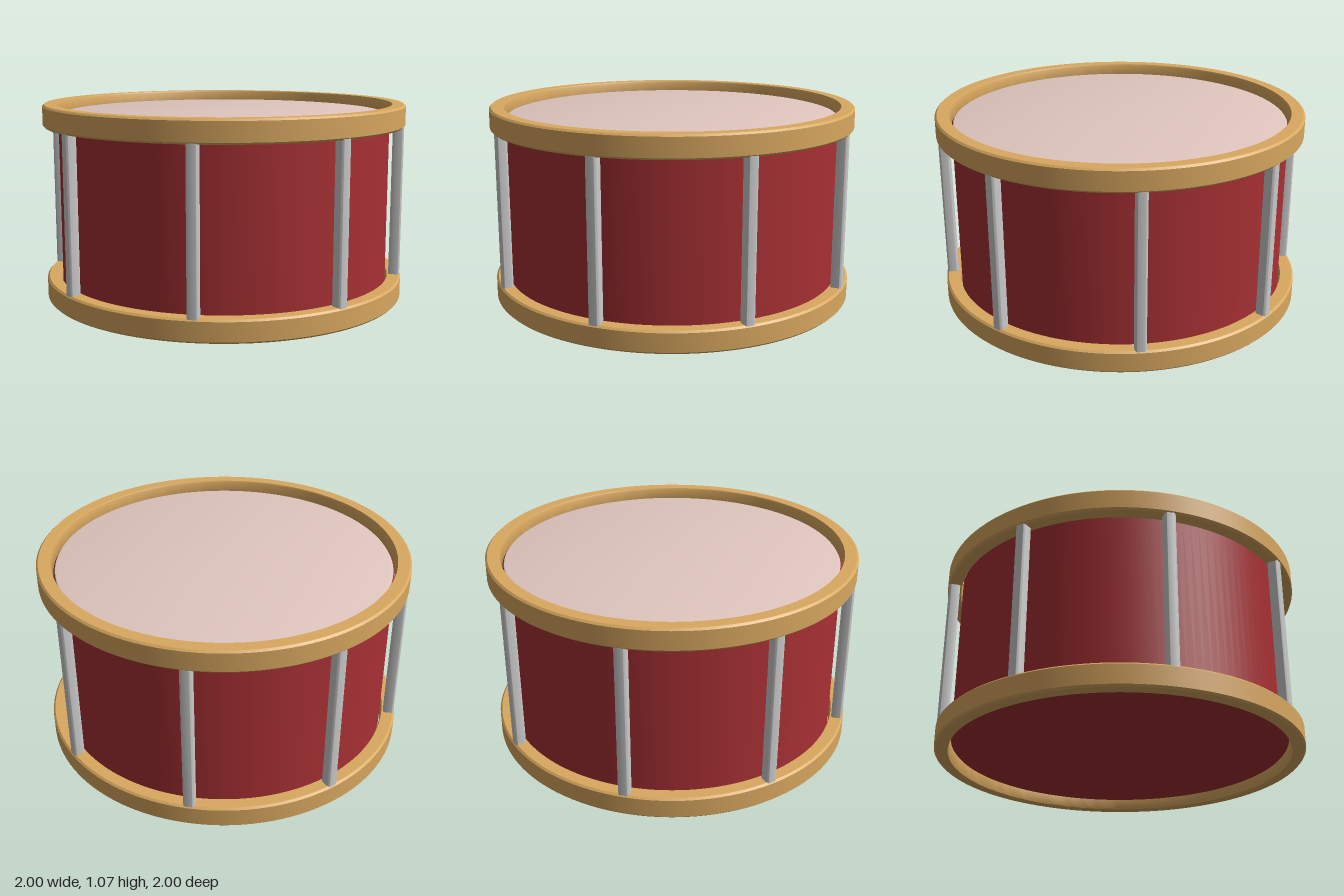
import * as THREE from 'three';
import { toCreasedNormals } from 'three/addons/utils/BufferGeometryUtils.js';

const mat = (color) => new THREE.MeshStandardMaterial({ color });

function lathe(name, points, material) {
  const profile = points.map(([r, y]) => new THREE.Vector2(r, y));
  const geometry = toCreasedNormals(new THREE.LatheGeometry(profile, 128), 0.6);
  const mesh = new THREE.Mesh(geometry, material);
  mesh.name = name;
  return mesh;
}

export function createModel() {
  const drum = new THREE.Group();
  drum.name = 'drum';
  const red = mat(0xa83034);
  const wood = mat(0xd9a860);
  const skin = mat(0xe0c6bf);
  const metal = mat(0xcccccc);

  // Shell, closed at the bottom
  drum.add(lathe('shell', [[0, 0.055], [0.905, 0.055], [0.915, 0.065], [0.915, 1.0], [0.908, 1.01]], red));

  // Drum head, recessed below the top hoop
  drum.add(lathe('drumHead', [[0.912, 1.0], [0.905, 1.012], [0.89, 1.016], [0, 1.016]], skin));

  // Two identical wooden hoops with softly bevelled edges
  const b = 0.01, h = 0.12, inner = 0.922, outer = 1;
  const hoopProfile = [
    [inner, b], [inner + b / 2, 0], [outer - b, 0], [outer, b],
    [outer, h - b], [outer - b, h], [inner + b / 2, h], [inner, h - b], [inner, b],
  ];
  for (const [name, y] of [['bottomHoop', 0], ['topHoop', 0.95]]) {
    const hoop = lathe(name, hoopProfile, wood);
    hoop.position.y = y;
    drum.add(hoop);
  }

  // Eight tension rods: square bars with rounded corners between the hoops
  const s = 0.03, r = 0.014;
  const section = new THREE.Shape();
  section.absarc(s - r, s - r, r, 0, Math.PI / 2);
  section.absarc(r - s, s - r, r, Math.PI / 2, Math.PI);
  section.absarc(r - s, r - s, r, Math.PI, Math.PI * 1.5);
  section.absarc(s - r, r - s, r, Math.PI * 1.5, Math.PI * 2);
  const bar = new THREE.ExtrudeGeometry(section, { depth: 0.91, bevelEnabled: false, curveSegments: 4 });
  bar.rotateX(-Math.PI / 2);
  const rodGeometry = toCreasedNormals(bar, 0.6);
  const rods = new THREE.Group();
  rods.name = 'tensionRods';
  for (let i = 0; i < 8; i++) {
    const a = (i * Math.PI) / 4;
    const rod = new THREE.Mesh(rodGeometry, metal);
    rod.name = 'tensionRod';
    rod.position.set(Math.sin(a) * 0.965, 0.08, Math.cos(a) * 0.965);
    rod.rotation.y = a;
    rods.add(rod);
  }
  drum.add(rods);
  return drum;
}
